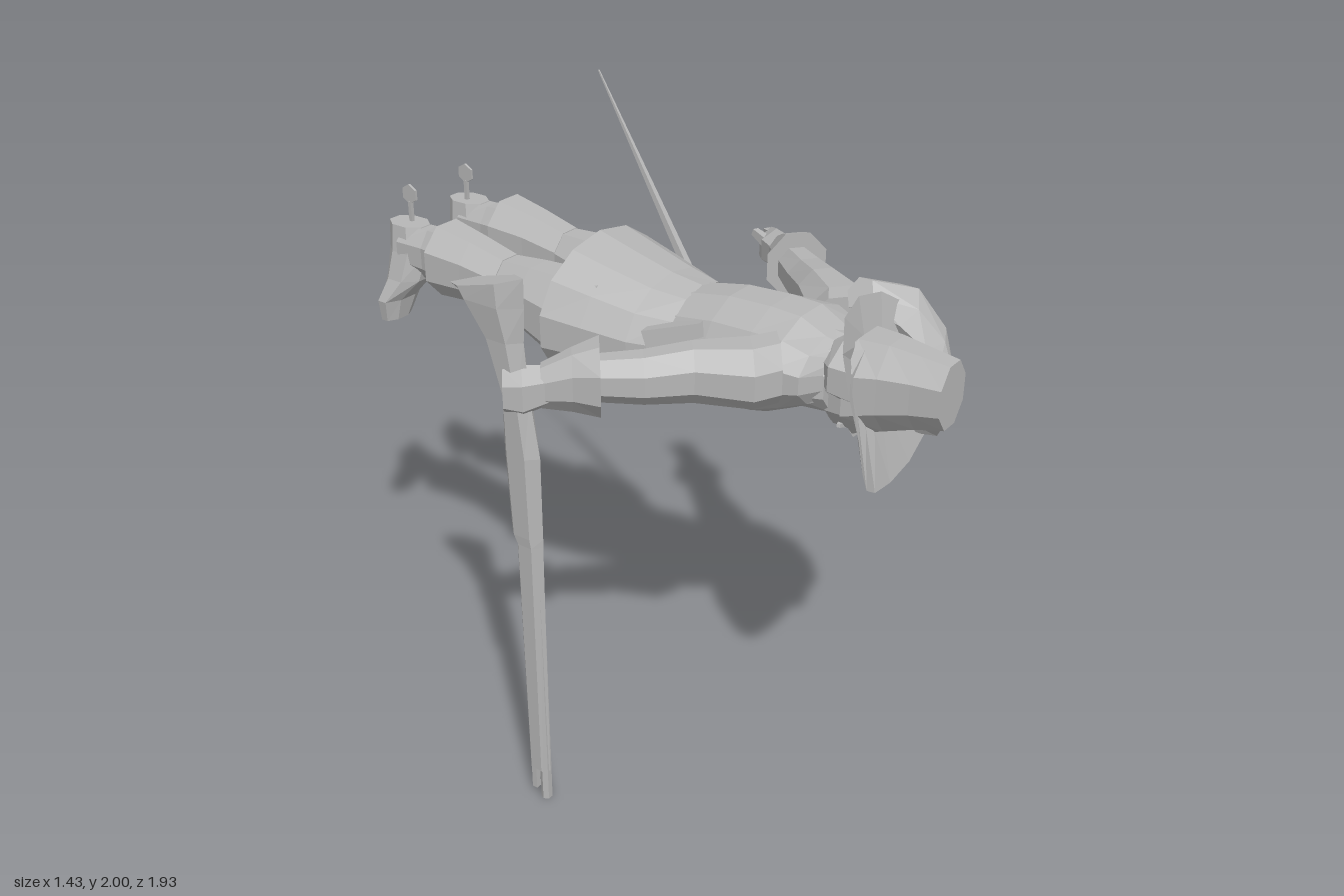
import * as THREE from 'three';

const V = (x, y, z) => new THREE.Vector3(x, y, z);
const X = V(1, 0, 0), Y = V(0, 1, 0), Z = V(0, 0, 1);
const pewter = new THREE.MeshStandardMaterial({ color: 0xb6b6b6, flatShading: true, side: THREE.DoubleSide });
pewter.name = 'pewter grey';

// Polygon ring whose flat sides touch the half-sizes ru (along u) and rv (along v)
function ring(c, u, v, ru, rv, n) {
  const k = 1 / Math.cos(Math.PI / n);
  return Array.from({ length: n }, (_, i) => {
    const a = (i + 0.5) / n * Math.PI * 2;
    return c.clone().addScaledVector(u, Math.cos(a) * ru * k).addScaledVector(v, Math.sin(a) * rv * k);
  });
}

const middle = (r) => r.reduce((s, p) => s.add(p), V(0, 0, 0)).divideScalar(r.length);

// Skins a row of rings; both ends are closed unless open is set
function skin(name, rings, open = false) {
  const out = [], n = rings[0].length, first = rings[0], last = rings[rings.length - 1];
  const c0 = middle(first), c1 = middle(last);
  const axis = first[0].clone().sub(c0).cross(first[1].clone().sub(c0));
  const flip = axis.dot(c1.clone().sub(c0)) < 0;
  const tri = (a, b, c) => (flip ? [a, c, b] : [a, b, c]).forEach((p) => out.push(p.x, p.y, p.z));
  for (let i = 0; i < n; i++) {
    const j = (i + 1) % n;
    for (let k = 0; k < rings.length - 1; k++) {
      const a = rings[k], b = rings[k + 1];
      tri(a[i], a[j], b[j]);
      tri(a[i], b[j], b[i]);
    }
    if (!open) {
      tri(c0, first[j], first[i]);
      tri(c1, last[i], last[j]);
    }
  }
  const g = new THREE.BufferGeometry();
  g.setAttribute('position', new THREE.Float32BufferAttribute(out, 3));
  g.computeVertexNormals();
  const m = new THREE.Mesh(g, pewter);
  m.name = name;
  return m;
}

// Sections [x, y, z, ru, rv] with fixed ring axes u and v
const loft = (name, n, u, v, rows, open) =>
  skin(name, rows.map(([x, y, z, ru, rv]) => ring(V(x, y, z), u, v, ru, rv, n)), open);

// Straight tapered bar between two points
function rod(name, a, b, ra, rb, n = 4) {
  const d = b.clone().sub(a).normalize();
  const u = d.clone().cross(Math.abs(d.x) > 0.8 ? Y : X).normalize(), v = d.clone().cross(u);
  return skin(name, [ring(a, u, v, ra, ra, n), ring(b, u, v, rb, rb, n)]);
}

function makeLeg(s) {
  const g = new THREE.Group();
  g.name = s > 0 ? 'leftLeg' : 'rightLeg';
  g.add(
    loft('breeches', 8, X, Y, [
      [s * 0.135, 1.4, -0.1, 0.11, 0.14], [s * 0.135, 1.39, -0.24, 0.115, 0.145],
      [s * 0.14, 1.42, -0.36, 0.1, 0.115], [s * 0.145, 1.445, -0.49, 0.075, 0.085]]),
    loft('bootCuff', 8, X, Y, [
      [s * 0.145, 1.445, -0.47, 0.08, 0.088], [s * 0.147, 1.465, -0.6, 0.09, 0.1],
      [s * 0.147, 1.475, -0.73, 0.107, 0.115]]),
    loft('bootShaft', 8, X, Y, [
      [s * 0.145, 1.47, -0.71, 0.075, 0.09], [s * 0.14, 1.468, -0.8, 0.06, 0.085],
      [s * 0.142, 1.475, -0.9, 0.065, 0.075]]),
    // Toes point down and splay outwards
    loft('foot', 8, X, Z, [
      [s * 0.14, 1.555, -0.9, 0.05, 0.07], [s * 0.14, 1.47, -0.89, 0.065, 0.08],
      [s * 0.16, 1.38, -0.9, 0.07, 0.07], [s * 0.185, 1.31, -0.93, 0.08, 0.04],
      [s * 0.2, 1.24, -0.935, 0.055, 0.03]]),
    rod('spurStem', V(s * 0.13, 1.53, -0.9), V(s * 0.13, 1.62, -0.9), 0.006, 0.006),
    rod('spurWheel', V(s * 0.13 - 0.004, 1.645, -0.9), V(s * 0.13 + 0.004, 1.645, -0.9), 0.028, 0.028, 6));
  return g;
}

function makeArm(s) {
  const g = new THREE.Group(), U = V(s * 0.77, 0, 0.64);
  g.name = s > 0 ? 'leftArm' : 'rightArm';
  g.add(
    loft('sleeve', 8, U, Y, [
      [s * 0.17, 1.45, 0.52, 0.1, 0.09], [s * 0.245, 1.45, 0.48, 0.105, 0.09],
      [s * 0.34, 1.455, 0.355, 0.075, 0.08], [s * 0.43, 1.445, 0.255, 0.07, 0.07],
      [s * 0.53, 1.445, 0.13, 0.055, 0.06]]),
    // Gauntlet flares towards the elbow
    loft('gauntlet', 8, U, Y, [
      [s * 0.505, 1.45, 0.165, 0.098, 0.105], [s * 0.555, 1.445, 0.11, 0.065, 0.085],
      [s * 0.61, 1.43, 0.045, 0.045, 0.06]]));
  if (s > 0) {
    g.add(loft('palm', 6, U, Y, [
      [0.6, 1.43, 0.055, 0.042, 0.05], [0.645, 1.425, 0.0, 0.05, 0.06], [0.685, 1.415, -0.045, 0.04, 0.055]]));
    for (let i = 0; i < 4; i++) {
      const y = 1.375 + i * 0.028;
      g.add(rod('finger', V(0.665, y, -0.02), V(0.694, y - 0.004, -0.085 + Math.abs(i - 1.5) * 0.01), 0.015, 0.011));
    }
    g.add(rod('thumb', V(0.62, 1.44, 0.0), V(0.645, 1.465, -0.085), 0.018, 0.011));
  } else {
    g.add(loft('fist', 6, U, Y, [
      [-0.59, 1.43, 0.065, 0.045, 0.05], [-0.645, 1.42, 0.01, 0.06, 0.065], [-0.68, 1.42, -0.03, 0.045, 0.055]]));
  }
  return g;
}

function makeHat() {
  const g = new THREE.Group(), inner = [], outer = [], n = 16;
  g.name = 'hat';
  // Wide brim, sides swept up and the back dropped
  for (let i = 0; i < n; i++) {
    const a = i / n * Math.PI * 2, c = Math.cos(a), s = Math.sin(a);
    inner.push(V(0.12 * c, 1.395 + 0.13 * s, 0.73 - 0.04 * s));
    outer.push(V(0.285 * c, 1.37 + 0.268 * s, 0.755 + (c < 0 ? 0.09 : 0.03) * c * c - (s > 0 ? 0.09 : 0.05) * s));
  }
  g.add(
    skin('brim', [inner, outer], true),
    loft('crown', 8, X, Y, [
      [0, 1.395, 0.7, 0.13, 0.145], [0, 1.41, 0.79, 0.105, 0.13],
      [0, 1.42, 0.88, 0.085, 0.11], [0, 1.425, 0.965, 0.072, 0.095]]));
  // Plume curling from the back round the left side
  const path = [[0.13, 1.585, 0.6, 0.045], [0.2, 1.55, 0.69, 0.065], [0.23, 1.46, 0.77, 0.06],
    [0.225, 1.36, 0.81, 0.06], [0.18, 1.28, 0.84, 0.06], [0.11, 1.25, 0.85, 0.045], [0.05, 1.27, 0.85, 0.02]];
  g.add(skin('plume', path.map(([x, y, z, r]) =>
    ring(V(x, y, z), V(x, y - 1.4, 0).normalize(), Z, r, r * 0.8, 6))));
  return g;
}

function makeMusket() {
  const g = new THREE.Group();
  g.name = 'musket';
  g.add(
    loft('stock', 6, X, Z, [
      [-0.643, 1.71, -0.105, 0.042, 0.115], [-0.643, 1.66, -0.09, 0.044, 0.1],
      [-0.643, 1.56, -0.05, 0.035, 0.06], [-0.643, 1.4, -0.015, 0.032, 0.04],
      [-0.643, 1.22, -0.005, 0.03, 0.056], [-0.643, 0.96, 0.0, 0.027, 0.05],
      [-0.643, 0.93, 0.008, 0.025, 0.042], [-0.643, 0.11, 0.006, 0.02, 0.034]]),
    rod('barrel', V(-0.643, 0.9, 0.027), V(-0.643, 0, 0.027), 0.018, 0.015, 6),
    rod('ramrod', V(-0.643, 0.3, -0.014), V(-0.643, 0.02, -0.014), 0.009, 0.009));
  // Slanted top of the butt
  const p = g.children[0].geometry.attributes.position;
  for (let i = 0; i < p.count; i++) if (p.getY(i) > 1.7) p.setY(i, 1.71 + 0.27 * (p.getZ(i) + 0.105));
  g.children[0].geometry.computeVertexNormals();
  return g;
}

function makeSword() {
  const g = new THREE.Group();
  const hilt = V(0.27, 1.355, -0.035), tip = V(0.36, 2, -0.51);
  g.name = 'sword';
  g.add(
    rod('blade', hilt, tip, 0.014, 0.002),
    rod('grip', V(0.255, 1.2, 0.095), hilt, 0.017, 0.013, 6),
    rod('crossGuard', V(0.215, 1.36, 0.035), V(0.32, 1.37, -0.085), 0.011, 0.011),
    rod('shellGuard', V(0.267, 1.33, -0.015), V(0.272, 1.365, -0.042), 0.035, 0.02, 6));
  return g;
}

export function createModel() {
  const model = new THREE.Group();
  model.name = 'fencerWithMusket';
  // Body lies face down with the head towards the front
  model.add(
    loft('jacket', 12, X, Y, [
      [0, 1.41, 0.66, 0.075, 0.08], [0, 1.42, 0.6, 0.19, 0.1], [0, 1.42, 0.52, 0.21, 0.14],
      [0, 1.4, 0.42, 0.205, 0.165], [0, 1.39, 0.28, 0.195, 0.17], [0, 1.37, 0.14, 0.18, 0.165]]),
    loft('coatSkirt', 14, X, Y, [
      [0, 1.37, 0.15, 0.185, 0.17], [0, 1.375, 0.04, 0.23, 0.18],
      [0, 1.39, -0.1, 0.265, 0.2], [0, 1.4, -0.23, 0.292, 0.225]], true),
    loft('hips', 10, X, Y, [[0, 1.38, 0.12, 0.15, 0.14], [0, 1.4, -0.18, 0.22, 0.15]]),
    loft('collar', 10, X, Y, [[0, 1.41, 0.56, 0.17, 0.11], [0, 1.4, 0.64, 0.12, 0.11]]),
    loft('head', 8, X, Y, [
      [0, 1.39, 0.58, 0.06, 0.07], [0, 1.36, 0.63, 0.09, 0.105],
      [0, 1.37, 0.7, 0.1, 0.115], [0, 1.385, 0.76, 0.1, 0.12]]),
    loft('hair', 8, X, Y, [
      [0, 1.44, 0.62, 0.1, 0.07], [0, 1.44, 0.66, 0.14, 0.09], [0, 1.43, 0.73, 0.13, 0.1]]),
    rod('nose', V(0, 1.27, 0.72), V(0, 1.235, 0.675), 0.012, 0.02),
    rod('beard', V(0, 1.29, 0.645), V(0, 1.25, 0.6), 0.04, 0.008));
  for (const s of [-1, 1]) {
    model.add(
      rod('moustache', V(0, 1.255, 0.655), V(s * 0.07, 1.27, 0.665), 0.016, 0.005),
      makeLeg(s), makeArm(s));
  }
  // Small bag on the right hip
  model.add(
    rod('bag', V(-0.195, 1.43, 0.1), V(-0.15, 1.49, 0.26), 0.035, 0.02),
    makeHat(), makeMusket(), makeSword());
  return model;
}
